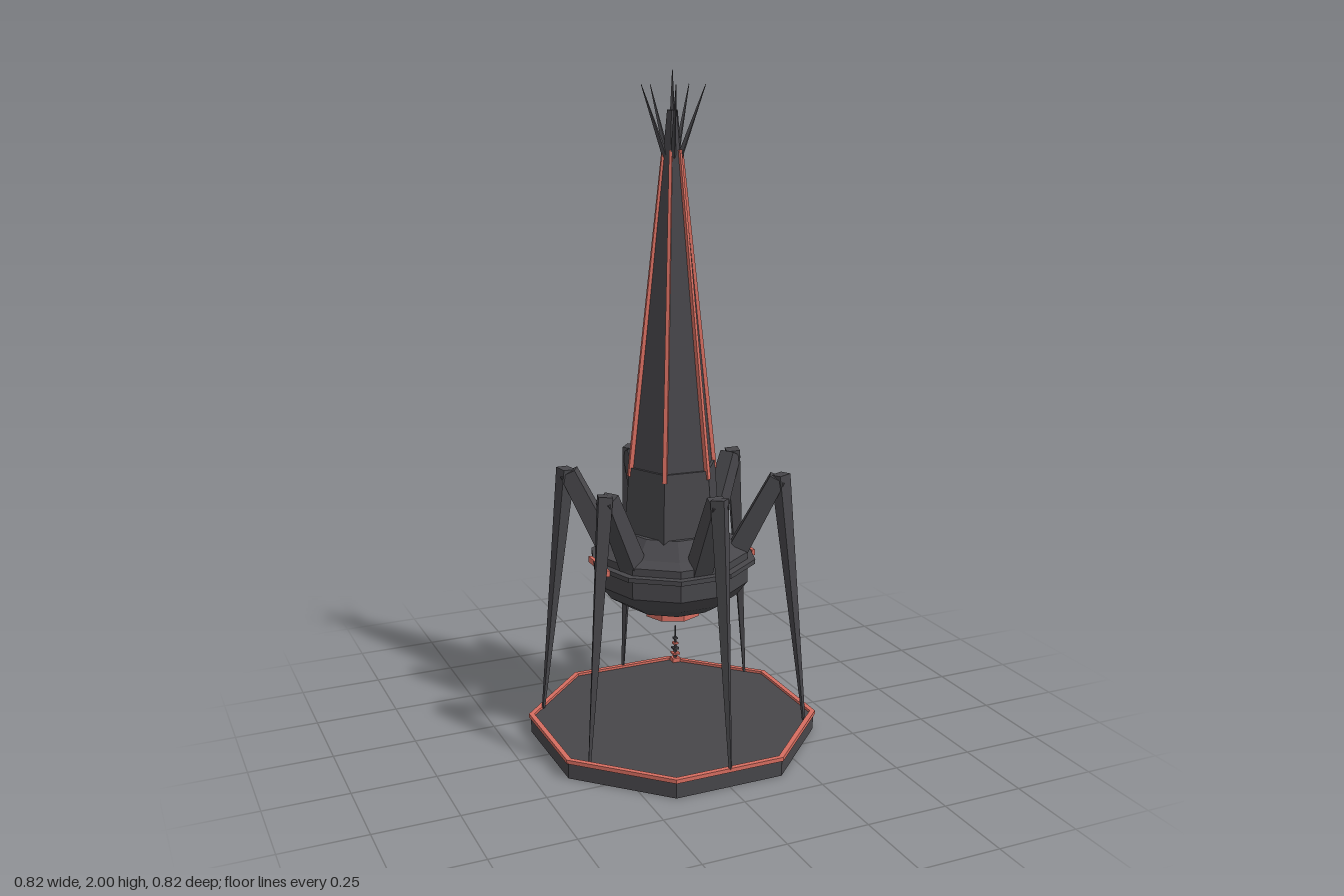
import * as THREE from 'three';

const dark = new THREE.MeshStandardMaterial({ color: 0x47464a, flatShading: true });
dark.name = 'charcoal metal';
const coral = new THREE.MeshStandardMaterial({ color: 0xd66d60, flatShading: true });
coral.name = 'coral trim';

const deg = Math.PI / 180;

function add(parent, name, geometry, material) {
  const mesh = new THREE.Mesh(geometry, material);
  mesh.name = name;
  parent.add(mesh);
  return mesh;
}

// upright prism between two heights, turned by an angle in degrees
function prism(parent, name, material, rBottom, rTop, y0, y1, sides, turn = 0) {
  const g = new THREE.CylinderGeometry(rTop, rBottom, y1 - y0, sides);
  g.rotateY(turn * deg).translate(0, (y0 + y1) / 2, 0);
  return add(parent, name, g, material);
}

// tapered beam from point a to point b
function beam(parent, name, material, a, b, rA, rB, sides, turn = 0) {
  const d = b.clone().sub(a);
  const g = new THREE.CylinderGeometry(rB, rA, d.length(), sides);
  g.rotateY(turn * deg);
  const mesh = add(parent, name, g, material);
  mesh.quaternion.setFromUnitVectors(new THREE.Vector3(0, 1, 0), d.normalize());
  mesh.position.copy(a).add(b).multiplyScalar(0.5);
  return mesh;
}

const V = (x, y, z) => new THREE.Vector3(x, y, z);

function octagon(apothem, Kind) {
  const r = apothem / Math.cos(22.5 * deg);
  const pts = [];
  for (let i = 0; i < 8; i++) {
    const a = (i * 45 + 22.5) * deg;
    pts.push(new THREE.Vector2(r * Math.cos(a), r * Math.sin(a)));
  }
  return new Kind(pts);
}

export function createModel() {
  const model = new THREE.Group();
  model.name = 'spireWalker';

  // octagonal stand with a raised coral rim
  prism(model, 'standBase', dark, 0.438, 0.438, 0, 0.052, 8, 22.5);
  const rim = octagon(0.41, THREE.Shape);
  rim.holes.push(octagon(0.395, THREE.Path));
  const rimGeo = new THREE.ExtrudeGeometry(rim, { depth: 0.012, bevelEnabled: false });
  rimGeo.rotateX(-Math.PI / 2).translate(0, 0.048, 0);
  add(model, 'standRim', rimGeo, coral);

  // ten-sided hull
  const profile = [
    [0, 0.43], [0.145, 0.43], [0.2, 0.465], [0.23, 0.505], [0.23, 0.6],
    [0.195, 0.615], [0.15, 0.665], [0, 0.665],
  ].map(([r, y]) => new THREE.Vector2(r, y));
  const hull = new THREE.LatheGeometry(profile, 10);
  hull.rotateY(18 * deg);
  add(model, 'hull', hull, dark);
  prism(model, 'hullFlange', dark, 0.253, 0.253, 0.564, 0.578, 10, 18);
  prism(model, 'engineVent', coral, 0.086, 0.086, 0.39, 0.435, 8);

  // coral light bars on both sides and the back
  for (const angle of [90, 180, 270]) {
    const bar = new THREE.BoxGeometry(0.147, 0.018, 0.011);
    bar.translate(0, 0.571, 0.237).rotateY(angle * deg);
    add(model, 'lightBar', bar, coral);
  }

  // hexagonal tower
  const turn = 26.5;
  prism(model, 'towerBase', dark, 0.155, 0.136, 0.62, 0.86, 6, turn);
  prism(model, 'tower', dark, 0.127, 0.028, 0.86, 1.77, 6, turn);
  prism(model, 'towerNeck', dark, 0.028, 0.016, 1.77, 1.89, 6, turn);
  prism(model, 'needle', dark, 0.007, 0.001, 1.89, 2.0, 4);

  // coral strips along the tower edges
  for (let i = 0; i < 6; i++) {
    const strip = new THREE.Group();
    strip.name = 'edgeStrip';
    strip.rotation.y = (turn + i * 60) * deg;
    beam(strip, 'strip', coral, V(0, 0.835, 0.134), V(0, 1.78, 0.027), 0.009, 0.006, 4, 45);
    model.add(strip);
  }

  // crown of five splayed spikes
  for (let i = 0; i < 5; i++) {
    const a = (180 + i * 72) * deg;
    const c = Math.cos(a), s = Math.sin(a);
    beam(model, 'crownSpike', dark, V(c * 0.022, 1.76, s * 0.022),
      V(c * 0.095, 1.96, s * 0.095), 0.009, 0.001, 4);
  }

  // six jointed legs
  for (let i = 0; i < 6; i++) {
    const leg = new THREE.Group();
    leg.name = 'leg';
    leg.rotation.y = i * 60 * deg;
    beam(leg, 'thigh', dark, V(0, 0.585, 0.19), V(0, 0.825, 0.313), 0.042, 0.034, 4, 45);
    beam(leg, 'shin', dark, V(0, 0.836, 0.322), V(0, 0.055, 0.406), 0.029, 0.005, 4);
    model.add(leg);
  }

  // small beacon mast at the rear corner of the stand
  const mast = new THREE.Group();
  mast.name = 'beaconMast';
  mast.position.set(0.18, 0, -0.38);
  prism(mast, 'mastPad', coral, 0.019, 0.019, 0.05, 0.066, 4, 45);
  prism(mast, 'mastRod', dark, 0.007, 0.002, 0.06, 0.18, 4);
  for (let i = 0; i < 4; i++) {
    const y = 0.078 + i * 0.018, r = 0.017 - i * 0.0025;
    prism(mast, 'mastPlate', i % 2 ? dark : coral, r, r, y, y + 0.006, 4, 45);
  }
  model.add(mast);

  return model;
}
